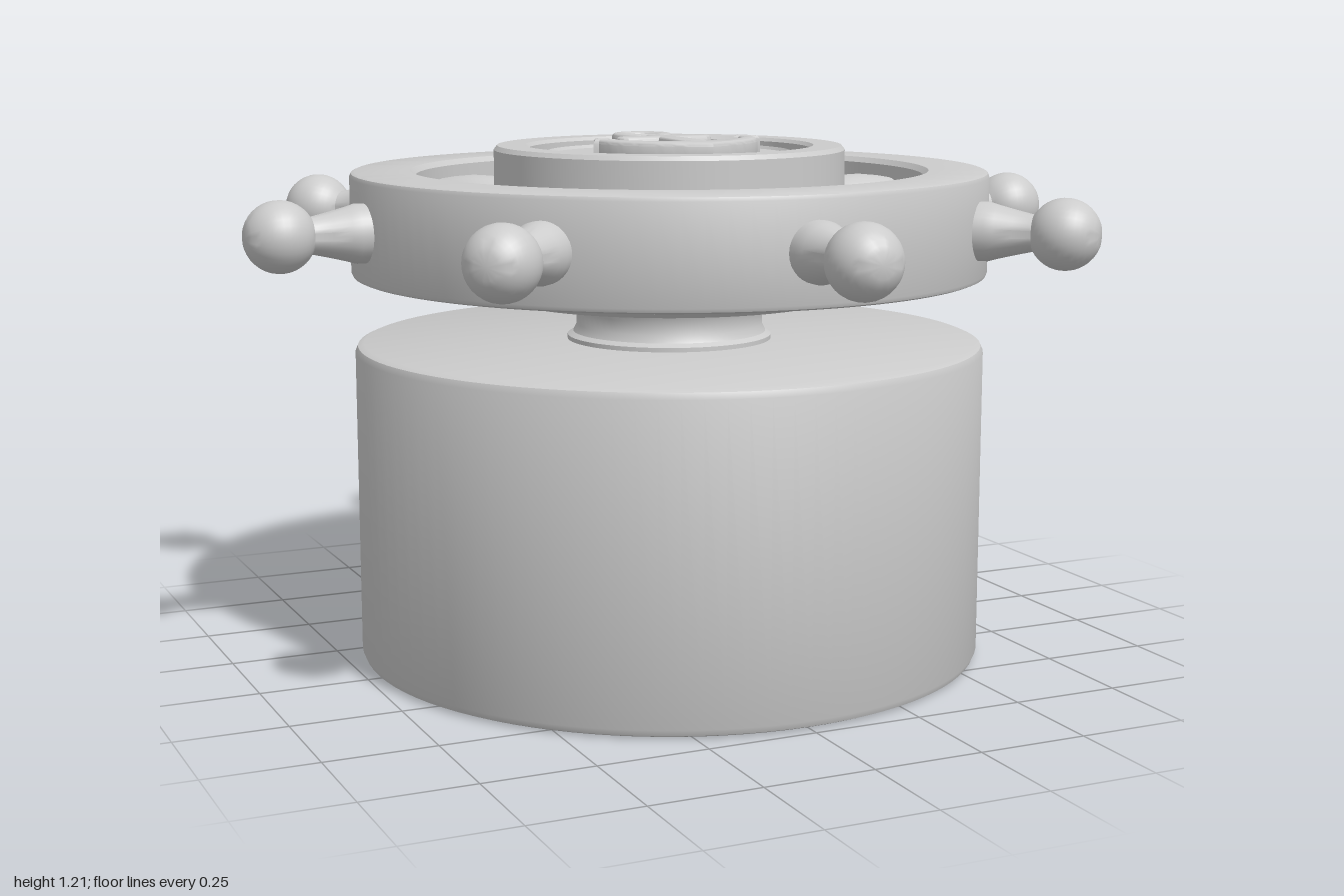
import * as THREE from 'three';
import { toCreasedNormals } from 'three/addons/utils/BufferGeometryUtils.js';

const material = new THREE.MeshStandardMaterial({ color: 0xcccccc });
const V = (x, y) => new THREE.Vector2(x, y);

function mesh(name, geometry, parent) {
  const m = new THREE.Mesh(geometry, material);
  m.name = name;
  parent.add(m);
  return m;
}

// Turned part from [radius, height] pairs, listed bottom to top on the outside
function turned(points, segments = 96) {
  return toCreasedNormals(new THREE.LatheGeometry(points.map(p => V(...p)), segments), 0.5);
}

// Ring or disc with softened edges; inner = 0 makes it solid
function roundedDisc(inner, outer, y0, y1, b) {
  const pts = [[inner, y0], [outer - b, y0], [outer - b * 0.3, y0 + b * 0.3], [outer, y0 + b],
    [outer, y1 - b], [outer - b * 0.3, y1 - b * 0.3], [outer - b, y1]];
  if (inner > 0) pts.push([inner + b, y1], [inner, y1 - b], [inner, y0]);
  else pts.push([0, y1]);
  return turned(pts);
}

// Flat shape raised upward from height y, with a soft bevel
function relief(name, shape, y, depth, parent) {
  const bevel = 0.01;
  const g = new THREE.ExtrudeGeometry(shape, {
    depth: depth - bevel, bevelThickness: bevel, bevelSize: bevel,
    bevelOffset: -bevel, bevelSegments: 3, curveSegments: 24,
  });
  g.rotateX(-Math.PI / 2);
  mesh(name, toCreasedNormals(g, 0.6), parent).position.y = y;
}

function polygon(points) {
  return new THREE.Shape(points.map(p => V(...p)));
}

function createBase() {
  const base = new THREE.Group();
  base.name = 'base';
  mesh('drum', turned([[0.603, 0.02], [0.603, 0], [0.71, 0], [0.724, 0.006], [0.73, 0.02],
    [0.73, 0.72], [0.724, 0.734], [0.71, 0.74], [0, 0.74]]), base);

  // Underside plate with an octagonal socket and four diagonal slots
  const plate = new THREE.Shape().absarc(0, 0, 0.598, 0, Math.PI * 2);
  const socket = [];
  for (let i = 0; i < 8; i++) {
    const a = (i + 0.5) * Math.PI / 4;
    socket.push(V(0.275 * Math.cos(a), 0.275 * Math.sin(a)));
  }
  plate.holes.push(new THREE.Path(socket));
  for (let i = 0; i < 4; i++) {
    const a = Math.PI / 4 + i * Math.PI / 2;
    const outline = [[0.34, -0.03], [0.36, -0.053], [0.535, -0.053], [0.555, -0.03],
      [0.555, 0.03], [0.535, 0.053], [0.36, 0.053], [0.34, 0.03]];
    plate.holes.push(new THREE.Path(outline.map(p => V(...p).rotateAround(V(0, 0), a))));
  }
  const g = new THREE.ExtrudeGeometry(plate, { depth: 0.4, bevelEnabled: false, curveSegments: 48 });
  g.rotateX(-Math.PI / 2);
  mesh('bottomPlate', toCreasedNormals(g, 0.4), base);
  const ceiling = mesh('socketCeiling', new THREE.CircleGeometry(0.598, 48), base);
  ceiling.rotation.x = Math.PI / 2;
  ceiling.position.y = 0.398;

  // Waisted neck carrying the wheel
  mesh('neck', turned([[0.238, 0.735], [0.238, 0.75], [0.225, 0.758], [0.217, 0.775],
    [0.217, 0.805], [0.225, 0.822], [0.238, 0.83], [0.238, 0.845]], 64), base);
  return base;
}

function createWheel() {
  const wheel = new THREE.Group();
  wheel.name = 'wheel';
  mesh('rim', roundedDisc(0.585, 0.735, 0.895, 1.135, 0.012), wheel);
  // Hub with a raised lip, a groove and a central medallion
  mesh('hub', turned([[0, 0.84], [0.395, 0.84], [0.405, 0.85], [0.405, 1.18], [0.397, 1.19],
    [0.333, 1.19], [0.325, 1.182], [0.325, 1.13], [0.29, 1.13], [0.29, 1.168],
    [0.283, 1.175], [0.277, 1.168], [0, 1.168]]), wheel);

  // Barrel spokes between hub and rim, ball-ended handles outside
  const spoke = [[0.075, 0.39], [0.084, 0.42], [0.09, 0.46], [0.091, 0.5], [0.086, 0.55], [0.077, 0.6]];
  const handle = [[0.066, 0.72], [0.066, 0.755], [0.06, 0.775], [0.05, 0.815], [0.042, 0.85]];
  for (let i = 0; i <= 14; i++) {
    const a = -1.02 + i / 14 * (1.02 + 1.22);
    handle.push([0.08 * Math.cos(a), 0.924 + 0.08 * Math.sin(a)]);
  }
  handle.push([0, 1]);
  const spokeGeometry = turned(spoke, 32);
  const handleGeometry = turned(handle, 32);
  for (let i = 0; i < 8; i++) {
    const arm = new THREE.Group();
    arm.name = 'arm' + (i + 1);
    arm.position.y = 1.015;
    arm.rotation.set(Math.PI / 2, i * Math.PI / 4, 0, 'YXZ');
    mesh('spoke', spokeGeometry, arm);
    mesh('handle', handleGeometry, arm);
    wheel.add(arm);
  }
  return wheel;
}

function createAnchor() {
  const anchor = new THREE.Group();
  anchor.name = 'anchor';
  const y = 1.165, h = 0.043;

  const ring = new THREE.Shape().absarc(0, 0.155, 0.072, 0, Math.PI * 2);
  ring.holes.push(new THREE.Path().absarc(0, 0.155, 0.036, 0, Math.PI * 2, true));
  relief('anchorRing', ring, y, h, anchor);

  relief('anchorShank', polygon([[-0.032, -0.19], [0.032, -0.19], [0.022, 0.095], [-0.022, 0.095]]), y, h, anchor);

  const stock = new THREE.Shape();
  stock.absarc(0.092, 0.03, 0.027, -Math.PI / 2, Math.PI / 2);
  stock.absarc(-0.092, 0.03, 0.027, Math.PI / 2, Math.PI * 1.5);
  relief('anchorStock', stock, y, h, anchor);

  // Crescent arms meeting in a point at the bottom
  const arms = new THREE.Shape();
  arms.moveTo(-0.195, -0.03);
  arms.bezierCurveTo(-0.19, -0.14, -0.1, -0.19, 0, -0.238);
  arms.bezierCurveTo(0.1, -0.19, 0.19, -0.14, 0.195, -0.03);
  arms.lineTo(0.158, -0.03);
  arms.bezierCurveTo(0.15, -0.1, 0.09, -0.15, 0, -0.155);
  arms.bezierCurveTo(-0.09, -0.15, -0.15, -0.1, -0.158, -0.03);
  relief('anchorArms', arms, y, h, anchor);
  for (const s of [1, -1]) {
    const fluke = [[0.18, 0.02], [0.142, -0.045], [0.175, -0.036], [0.21, -0.05]].map(p => [p[0] * s, p[1]]);
    relief(s > 0 ? 'leftFluke' : 'rightFluke', polygon(fluke), y, h, anchor);
  }
  return anchor;
}

export function createModel() {
  const model = new THREE.Group();
  model.name = 'shipWheelOnDrum';
  model.add(createBase(), createWheel(), createAnchor());
  return model;
}
